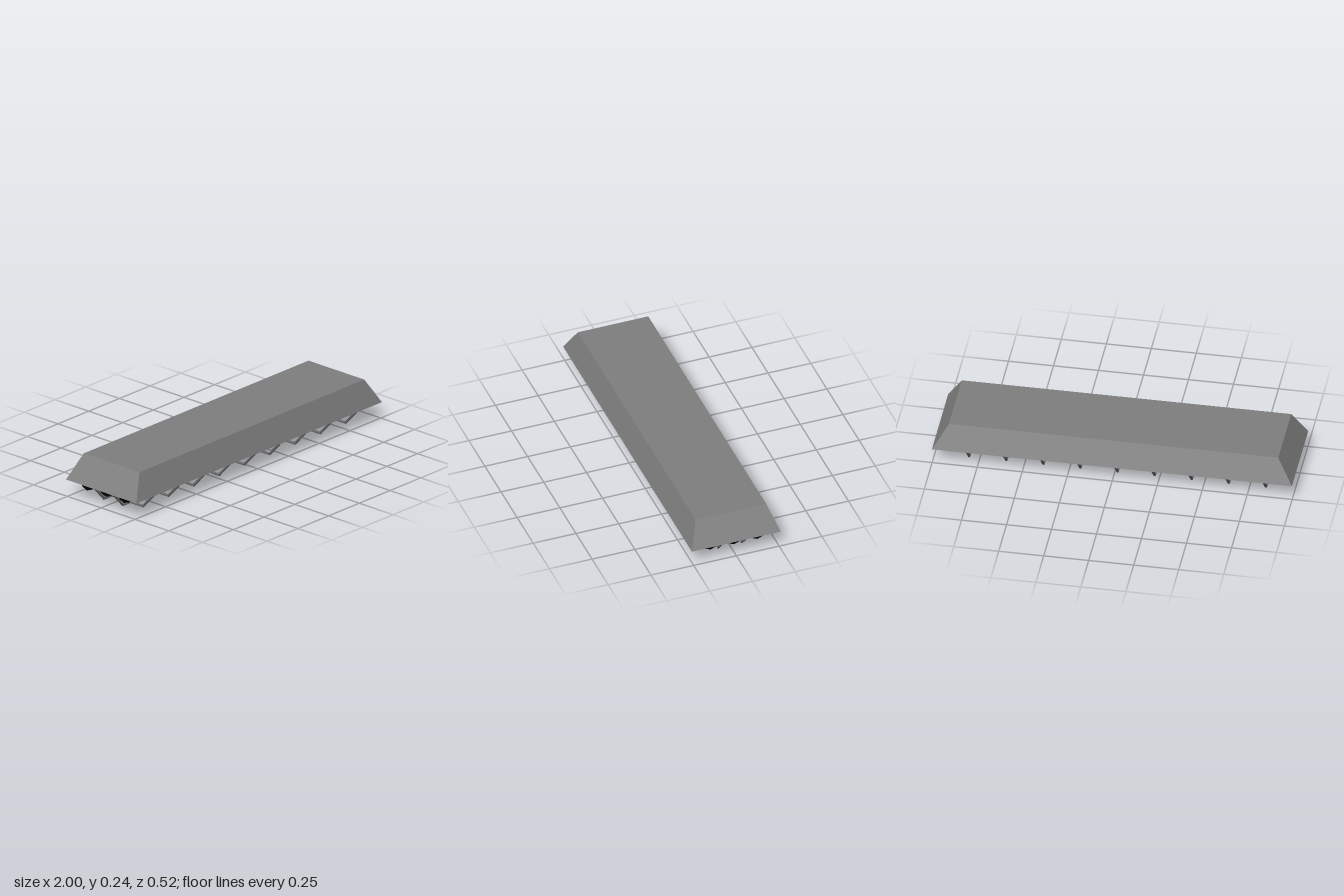
import * as THREE from 'three';

const mat = (name, color, extra = {}) => {
  const m = new THREE.MeshStandardMaterial({ color, flatShading: true, ...extra });
  m.name = name;
  return m;
};

// Joins equal-length loops of points into a faceted surface; caps close the first and last loop.
function skin(loops, caps) {
  const n = loops[0].length, idx = [];
  for (let i = 0; i < loops.length - 1; i++) {
    for (let j = 0; j < n; j++) {
      const a = i * n + j, b = i * n + (j + 1) % n;
      idx.push(a, a + n, b + n, a, b + n, b);
    }
  }
  if (caps) {
    const e = (loops.length - 1) * n;
    for (let j = 1; j < n - 1; j++) idx.push(0, j, j + 1, e, e + j + 1, e + j);
  }
  const g = new THREE.BufferGeometry();
  g.setAttribute('position', new THREE.Float32BufferAttribute(loops.flat(2), 3));
  g.setIndex(idx);
  const flat = g.toNonIndexed();
  flat.computeVertexNormals();
  return flat;
}

// Round bar with mitred corners along a flat path of [u, y]; it runs along x.
function bar(path, radius, sides = 8) {
  const pts = path.map(p => new THREE.Vector2(...p));
  const loops = pts.map((p, i) => {
    const before = pts[Math.max(i - 1, 0)], after = pts[Math.min(i + 1, pts.length - 1)];
    const d1 = (i ? p.clone().sub(before) : after.clone().sub(p)).normalize();
    const d2 = (i < pts.length - 1 ? after.clone().sub(p) : d1.clone()).normalize();
    const t = d1.clone().add(d2).normalize();
    const stretch = radius / t.dot(d1);
    return Array.from({ length: sides }, (_, k) => {
      const a = -k / sides * Math.PI * 2;
      const m = Math.cos(a) * stretch;
      return [p.x - t.y * m, p.y + t.x * m, Math.sin(a) * radius];
    });
  });
  return skin(loops, false);
}

export function createModel() {
  const group = new THREE.Group();
  const housingGrey = mat('housing grey', 0x7e7e7e);
  const cageGrey = mat('cage grey', 0x6a6a6a, { side: THREE.DoubleSide });
  const capBlack = mat('cap black', 0x020202);
  const tubeYellow = mat('tube yellow', 0xe6e600);

  const add = (name, geometry, material, x = 0, y = 0, z = 0) => {
    const mesh = new THREE.Mesh(geometry, material);
    mesh.name = name;
    mesh.position.set(x, y, z);
    group.add(mesh);
  };

  // Tapered housing, hollow underneath
  const rect = (x, y, z) => [[-x, y, z], [x, y, z], [x, y, -z], [-x, y, -z]];
  add('housing', skin([
    rect(0.915, 0.241, 0.206),
    rect(1, 0.097, 0.26),
    rect(0.972, 0.097, 0.235),
    rect(0.945, 0.152, 0.216),
  ], true), housingGrey);

  // Three light tubes with a socket at each end
  const tubeGeo = new THREE.CylinderGeometry(0.033, 0.033, 1.82, 8).rotateZ(Math.PI / 2);
  const socketGeo = new THREE.CylinderGeometry(0.047, 0.047, 0.065, 8).rotateZ(Math.PI / 2);
  for (const z of [-0.137, 0, 0.137]) {
    add('lightTube', tubeGeo, tubeYellow, 0, 0.102, z);
    for (const s of [-1, 1]) add('tubeSocket', socketGeo, capBlack, s * 0.932, 0.102, z);
  }

  // Long cage rods
  const rodGeo = bar([[-0.985, 0.102], [-0.9, 0.008], [0.9, 0.008], [0.985, 0.102]], 0.0075);
  for (const z of [-0.069, 0.069]) add('cageRod', rodGeo, cageGrey, 0, 0, z);

  // Cross ribs of the cage
  const ribGeo = bar([
    [-0.25, 0.102], [-0.205, 0.053], [-0.164, 0.008],
    [0.164, 0.008], [0.205, 0.053], [0.25, 0.102],
  ], 0.0075).rotateY(Math.PI / 2);
  for (let i = 0; i < 9; i++) add('cageRib', ribGeo, cageGrey, -0.839 + i * 0.206);

  return group;
}
